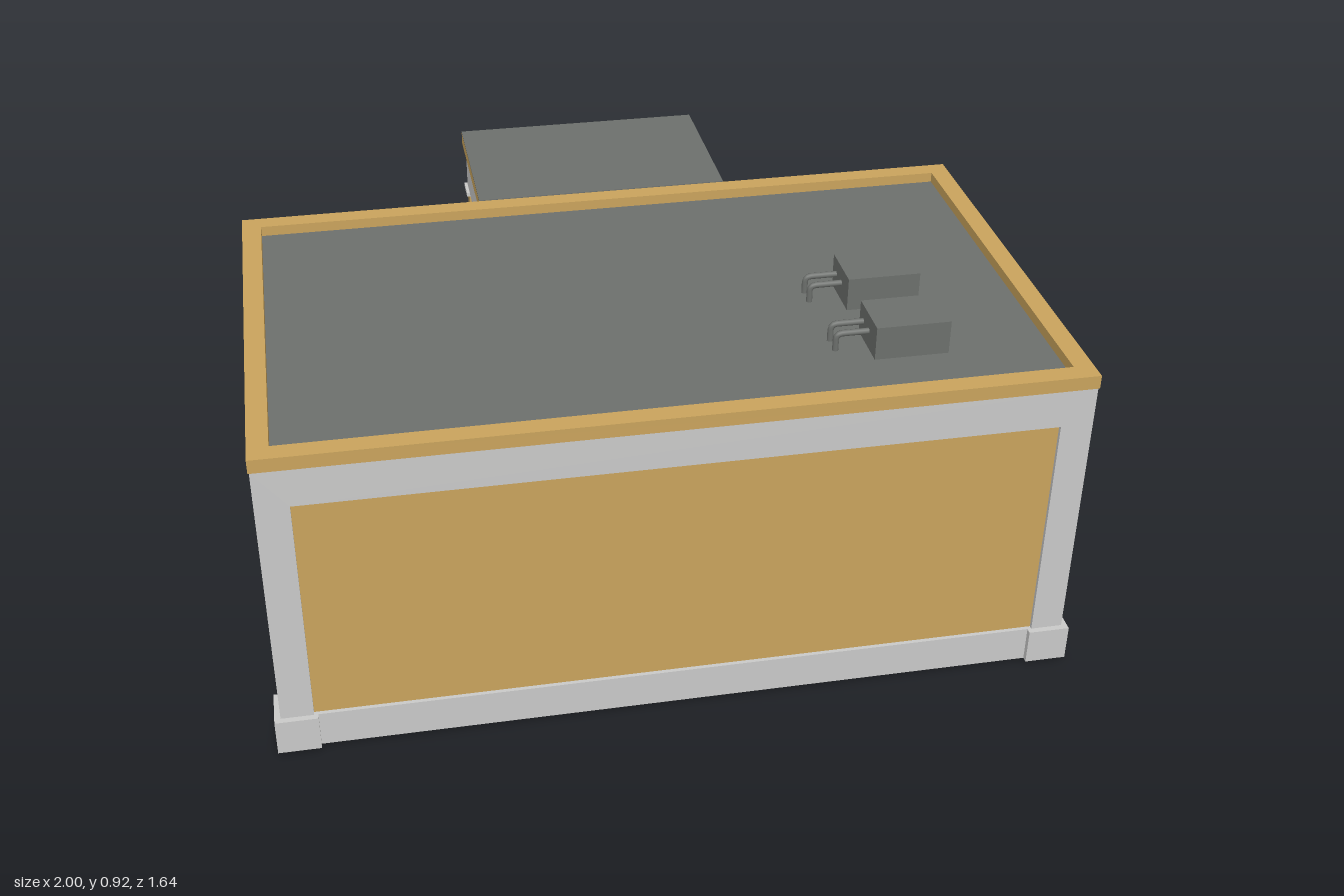
import * as THREE from 'three';

const mat = (name, color, side = THREE.FrontSide) => {
  const m = new THREE.MeshStandardMaterial({ color, side });
  m.name = name;
  return m;
};

export function createModel() {
  const root = new THREE.Group();
  root.name = 'house';
  const ochre = mat('ochre plaster', 0xc9a35c);
  const ochreSheet = ochre;
  const pale = mat('pale grey stone', 0xc9c9c8);
  const slate = mat('roof grey', 0x6c6f6c);
  const dark = mat('dark glass', 0x434142);
  const metal = mat('railing metal', 0x8e908f);

  const add = (name, geo, material, parent = root) => {
    const mesh = new THREE.Mesh(geo, material);
    mesh.name = name;
    parent.add(mesh);
    return mesh;
  };
  // Box given by its extents
  const box = (name, m, x0, x1, y0, y1, z0, z1, parent = root) => {
    const b = add(name, new THREE.BoxGeometry(x1 - x0, y1 - y0, z1 - z0), m, parent);
    b.position.set((x0 + x1) / 2, (y0 + y1) / 2, (z0 + z1) / 2);
    return b;
  };
  const rect = (C, x0, x1, y0, y1) => {
    const s = new C();
    s.moveTo(x0, y0).lineTo(x1, y0).lineTo(x1, y1).lineTo(x0, y1).closePath();
    return s;
  };
  const frameGeo = (outer, inner, depth) => {
    const s = rect(THREE.Shape, ...outer);
    s.holes.push(rect(THREE.Path, ...inner));
    return new THREE.ExtrudeGeometry(s, { depth, bevelEnabled: false });
  };

  // Main body, base and framed walls
  box('walls', ochre, -0.975, 0.975, 0.02, 0.82, -0.345, 0.795);
  box('base', pale, -0.985, 0.985, 0.01, 0.1, -0.355, 0.805);
  const longFrame = frameGeo([-0.985, 0.985, 0.02, 0.82], [-0.905, 0.905, 0.105, 0.72], 0.01);
  const sideFrame = frameGeo([-0.58, 0.58, 0.02, 0.82], [-0.505, 0.5, 0.105, 0.72], 0.01);
  add('frontFrame', longFrame, pale).position.z = 0.795;
  add('backFrame', longFrame, pale).position.z = -0.355;
  for (const s of [-1, 1]) {
    const side = add('sideFrame', sideFrame, pale);
    side.rotation.y = s * Math.PI / 2;
    side.position.set(s * 0.975, 0, 0.225);
    // Tall narrow side window
    const w0 = s > 0 ? 0.975 : -0.981, w1 = s > 0 ? 0.981 : -0.975;
    box('sideWindowFrame', pale, w0, w1, 0.165, 0.655, -0.125, -0.025);
    box('sideWindow', dark, w0 + s * 0.002, w1 + s * 0.002, 0.172, 0.648, -0.118, -0.032);
    // Corner plinths
    for (const [z0, z1] of [[0.715, 0.82], [-0.37, -0.265]])
      box('cornerPlinth', pale, s > 0 ? 0.895 : -1, s > 0 ? 1 : -0.895, 0.01, 0.105, z0, z1);
  }

  // Flat roof and parapet
  const parapet = add('parapet', frameGeo([-0.988, 0.988, -0.807, 0.36], [-0.938, 0.938, -0.757, 0.31], 0.035), ochre);
  parapet.rotation.x = -Math.PI / 2;
  parapet.position.y = 0.82;
  box('roof', slate, -0.94, 0.94, 0.815, 0.828, -0.312, 0.759);

  // Rooftop cooling units with elbow pipes
  for (const z of [0.22, 0.463]) {
    const unit = new THREE.Group();
    unit.name = 'coolingUnit';
    root.add(unit);
    box('unitBody', slate, 0.5, 0.685, 0.828, 0.915, z, z + 0.137, unit);
    for (const dz of [0.028, 0.075]) {
      const path = new THREE.CurvePath();
      const p = (x, y) => new THREE.Vector3(x, y, z + dz);
      path.add(new THREE.LineCurve3(p(0.505, 0.873), p(0.435, 0.873)));
      path.add(new THREE.QuadraticBezierCurve3(p(0.435, 0.873), p(0.419, 0.873), p(0.419, 0.857)));
      path.add(new THREE.LineCurve3(p(0.419, 0.857), p(0.419, 0.826)));
      add('unitPipe', new THREE.TubeGeometry(path, 16, 0.008, 8), slate, unit);
    }
  }

  // Back windows: chamfered panes with a pale surround
  const pane = (w, h, c, depth) => {
    const s = new THREE.Shape();
    const a = w / 2, b = h / 2;
    s.setFromPoints([[-a + c, -b], [a - c, -b], [a, -b + c], [a, b - c], [a - c, b], [-a + c, b], [-a, b - c], [-a, -b + c]]
      .map(([x, y]) => new THREE.Vector2(x, y)));
    return new THREE.ExtrudeGeometry(s, { depth, bevelEnabled: false });
  };
  const backOpening = (name, x, y0, y1, w, c, out) => {
    const g = new THREE.Group();
    g.name = name;
    g.position.set(x, (y0 + y1) / 2, -0.343);
    g.rotation.y = Math.PI;
    root.add(g);
    add('surround', pane(w + 0.012, y1 - y0 + 0.012, c, out - 0.003), pale, g);
    add('glass', pane(w, y1 - y0, c, out), dark, g);
  };
  for (const s of [-1, 1])
    for (const x of [0.465, 0.615, 0.762]) {
      backOpening('upperWindow', s * x, 0.42, 0.66, 0.092, 0.014, 0.009);
      backOpening('lowerWindow', s * x, 0.145, 0.265, 0.092, 0.014, 0.009);
    }
  backOpening('balconyDoor', 0, 0.4, 0.66, 0.16, 0.004, 0.017);
  backOpening('entranceDoor', 0, 0.02, 0.265, 0.16, 0.004, 0.017);

  // Balcony, with a deeper middle over the porch
  box('balconySlab', pale, -0.968, 0.968, 0.318, 0.395, -0.535, -0.35);
  box('porchBalconySlab', pale, -0.343, 0.343, 0.318, 0.395, -0.817, -0.53);
  box('porchGround', slate, -0.345, 0.343, 0, 0.012, -0.82, -0.31);

  // Porch columns with bases and caps on both storeys
  for (const s of [-1, 1])
    for (const [y0, y1] of [[0.01, 0.318], [0.395, 0.692]]) {
      const col = new THREE.Group();
      col.name = 'porchColumn';
      col.position.set(s * 0.3075, 0, -0.7825);
      root.add(col);
      box('shaft', ochre, -0.0275, 0.0275, y0, y1 - 0.005, -0.0275, 0.0275, col);
      box('columnBase', pale, -0.036, 0.036, y0, y0 + 0.011, -0.036, 0.036, col);
      box('cap', pale, -0.036, 0.036, y1 - 0.012, y1, -0.036, 0.036, col);
    }

  // Arched porch canopy with an ochre vault
  const N = 24, A = 0.28, H = 0.108;
  const arc = Array.from({ length: N + 1 }, (_, i) => {
    const t = Math.PI * i / N;
    return new THREE.Vector2(A * Math.cos(t), 0.69 + H * Math.sin(t));
  });
  const canopy = new THREE.Shape();
  canopy.setFromPoints([[-0.335, 0.69], [-0.335, 0.82], [0.335, 0.82], [0.335, 0.69]]
    .map(([x, y]) => new THREE.Vector2(x, y)).concat(arc));
  add('archedCanopy', new THREE.ExtrudeGeometry(canopy, { depth: 0.457, bevelEnabled: false }), pale).position.z = -0.81;
  const vault = new THREE.Shape();
  vault.setFromPoints(arc.concat(arc.map(p => new THREE.Vector2(p.x * 0.99, p.y - 0.002)).reverse()));
  add('vaultLining', new THREE.ExtrudeGeometry(vault, { depth: 0.45, bevelEnabled: false }), ochreSheet).position.z = -0.806;
  box('porchRoofEdge', ochre, -0.344, 0.344, 0.82, 0.853, -0.822, -0.355);
  box('porchRoof', slate, -0.344, 0.344, 0.853, 0.857, -0.823, -0.36);

  // Railings: four rails and evenly spaced posts along each run
  const railing = (x0, z0, x1, z1) => {
    const g = new THREE.Group();
    g.name = 'railing';
    g.position.set(x0, 0, z0);
    g.rotation.y = -Math.atan2(z1 - z0, x1 - x0);
    root.add(g);
    const L = Math.hypot(x1 - x0, z1 - z0), n = Math.max(1, Math.round(L / 0.13));
    for (const y of [0.422, 0.453, 0.486, 0.519])
      box('rail', metal, -0.004, L + 0.004, y - 0.004, y + 0.004, -0.004, 0.004, g);
    for (let i = 0; i <= n; i++)
      box('post', metal, L * i / n - 0.005, L * i / n + 0.005, 0.39, 0.519, -0.005, 0.005, g);
  };
  for (const s of [-1, 1]) {
    railing(s * 0.937, -0.36, s * 0.937, -0.512);
    railing(s * 0.937, -0.512, s * 0.318, -0.512);
    railing(s * 0.318, -0.512, s * 0.318, -0.757);
  }
  railing(-0.28, -0.793, 0.28, -0.793);

  return root;
}
